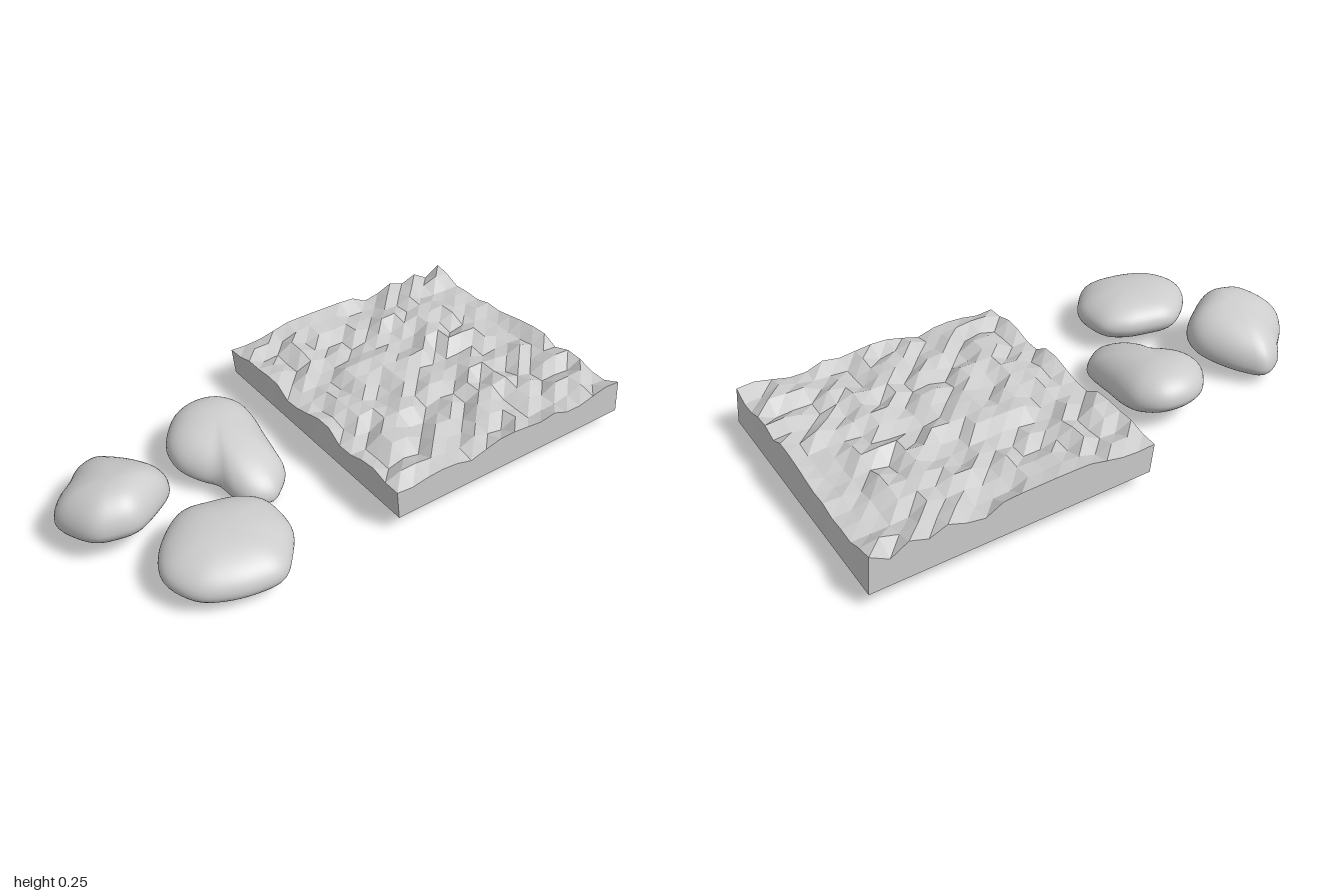
import * as THREE from 'three';
import { mergeVertices } from 'three/addons/utils/BufferGeometryUtils.js';

// Repeatable pseudo-random value for a grid corner
function hash(i, j) {
  const s = Math.sin(i * 127.1 + j * 311.7) * 43758.5453;
  return s - Math.floor(s);
}

// Square ground slab with a rough, faceted top
function createSlab() {
  const cells = 16, width = 1.03, depth = 1.03;
  const geo = new THREE.BoxGeometry(depth, 0.14, width, cells, 1, cells);
  geo.rotateY(Math.PI / 2);
  const pos = geo.attributes.position;
  for (let k = 0; k < pos.count; k++) {
    const x = pos.getX(k), z = pos.getZ(k), top = pos.getY(k) > 0;
    const i = Math.round((x / width + 0.5) * cells);
    const j = Math.round((z / depth + 0.5) * cells);
    // mostly high plateaus with lower dips between them
    const r = 0.75 * hash(i, j) + 0.25 * hash(Math.floor(i / 3) + 40, Math.floor(j / 3) + 9);
    const y = top ? 0.2 - 0.04 * THREE.MathUtils.smoothstep(r, 0.2, 0.9) : 0.06;
    pos.setXYZ(k, x - 0.017, y, z - 0.485 + (top ? 0.014 : 0));
  }
  geo.deleteAttribute('normal');
  geo.computeVertexNormals();
  const mesh = new THREE.Mesh(geo, new THREE.MeshStandardMaterial({ color: 0xcccccc, flatShading: true }));
  mesh.name = 'groundSlab';
  return mesh;
}

// Smooth pebble: plan outline [x, z], swollen above and below a tilted rim
function createPebble({ name, centre, outline, rim, slope, up, down, apex }) {
  const curve = new THREE.CatmullRomCurve3(outline.map(([x, z]) => new THREE.Vector3(x, 0, z)), true);
  const around = 56, rings = 28;
  const plan = curve.getSpacedPoints(around);
  const [cx, cz] = centre;
  const verts = [], index = [];
  for (let r = 0; r <= rings; r++) {
    const t = (r / rings - 0.5) * Math.PI;
    const spread = Math.pow(Math.max(Math.cos(t), 0), 0.9);
    const s = Math.sin(t);
    for (let a = 0; a <= around; a++) {
      const p = plan[a % around];
      // the crown leans towards the apex offset
      const lean = (1 - spread) * Math.max(s, 0);
      const dx = (p.x - cx) * spread + apex[0] * lean;
      const dz = (p.z - cz) * spread + apex[1] * lean;
      const y = rim + slope * dx + s * (s > 0 ? up : down);
      verts.push(cx + dx, y, cz + dz);
    }
  }
  const n = around + 1;
  for (let r = 0; r < rings; r++) {
    for (let a = 0; a < around; a++) {
      const p = r * n + a, q = p + n;
      // outlines run clockwise seen from above
      if (r > 0) index.push(p, q + 1, p + 1);
      if (r < rings - 1) index.push(p, q, q + 1);
      if (r === 0) continue;
      if (r === rings - 1) index.push();
    }
  }
  let geo = new THREE.BufferGeometry();
  geo.setAttribute('position', new THREE.Float32BufferAttribute(verts, 3));
  geo.setIndex(index);
  geo = mergeVertices(geo, 1e-5);
  geo.computeVertexNormals();
  const mesh = new THREE.Mesh(geo, new THREE.MeshStandardMaterial({ color: 0xcccccc, side: THREE.DoubleSide }));
  mesh.name = name;
  return mesh;
}

const pebbles = [
  {
    name: 'backPebble', centre: [-0.13, 0.33], rim: 0.09, slope: -0.15, up: 0.11, down: 0.075, apex: [-0.03, 0],
    outline: [[-0.35, 0.33], [-0.33, 0.24], [-0.26, 0.18], [-0.18, 0.17], [-0.07, 0.185], [0.01, 0.195],
      [0.085, 0.21], [0.14, 0.265], [0.165, 0.31], [0.14, 0.38], [0.075, 0.42], [0.005, 0.435],
      [-0.05, 0.48], [-0.13, 0.52], [-0.21, 0.515], [-0.285, 0.465], [-0.33, 0.41]],
  },
  {
    name: 'frontPebble', centre: [-0.08, 0.8], rim: 0.11, slope: 0.16, up: 0.13, down: 0.085, apex: [0.04, 0],
    outline: [[-0.31, 0.755], [-0.27, 0.705], [-0.18, 0.64], [-0.075, 0.6], [-0.005, 0.615], [0.06, 0.69],
      [0.115, 0.795], [0.105, 0.87], [0.075, 0.935], [-0.02, 0.985], [-0.095, 0.995], [-0.155, 0.96],
      [-0.22, 0.89], [-0.285, 0.83]],
  },
  {
    name: 'sidePebble', centre: [0.33, 0.6], rim: 0.1, slope: -0.05, up: 0.095, down: 0.085, apex: [0, 0],
    outline: [[0.12, 0.645], [0.135, 0.545], [0.165, 0.45], [0.22, 0.385], [0.295, 0.37], [0.385, 0.38],
      [0.465, 0.435], [0.528, 0.505], [0.528, 0.605], [0.5, 0.705], [0.455, 0.78], [0.375, 0.825],
      [0.315, 0.83], [0.245, 0.8], [0.165, 0.725]],
  },
];

export function createModel() {
  const model = new THREE.Group();
  model.name = 'groundAndPebbles';
  model.add(createSlab());
  for (const p of pebbles) model.add(createPebble(p));
  return model;
}
